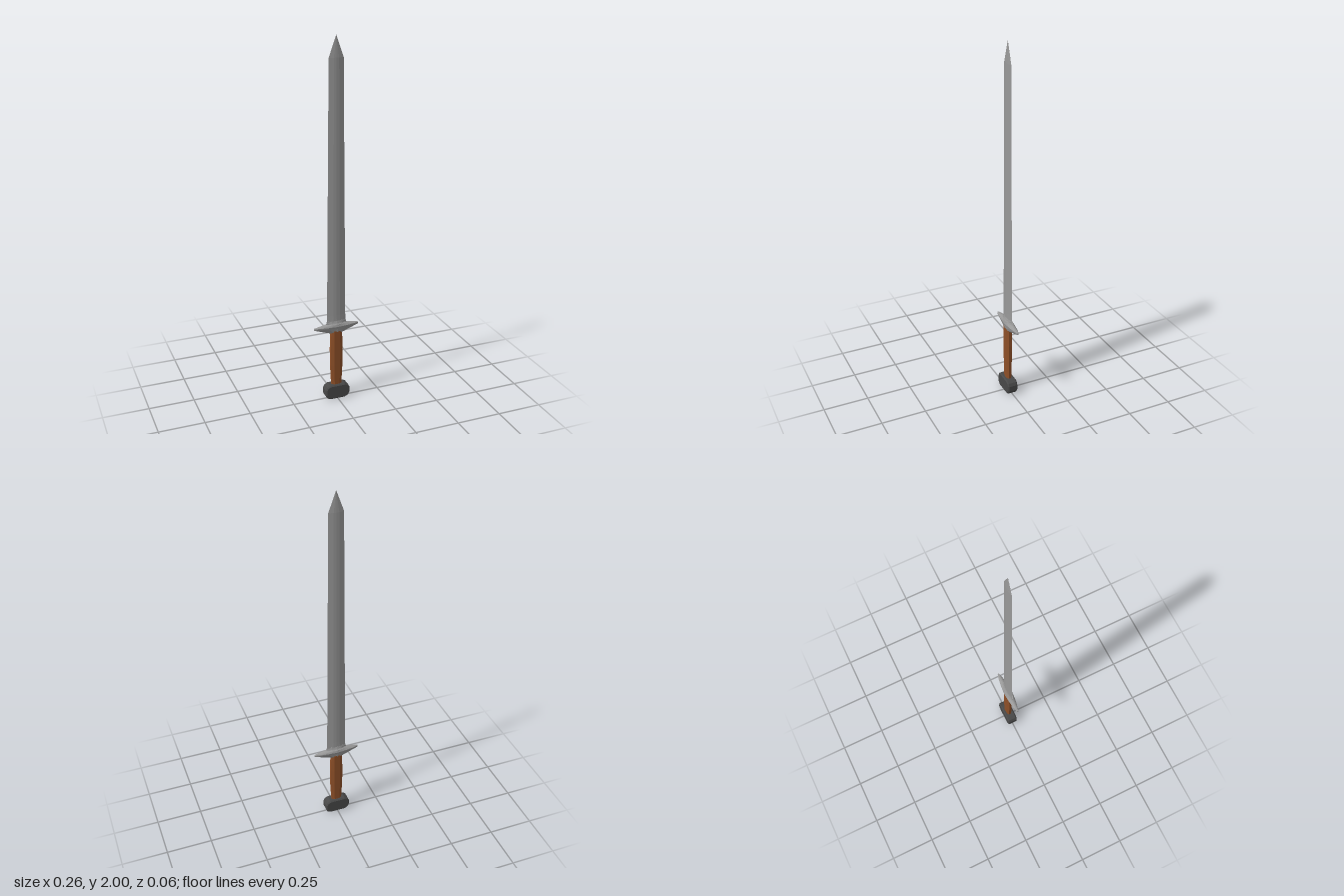
import * as THREE from 'three';

const mat = (color) => new THREE.MeshStandardMaterial({ color, flatShading: true });

// Expands one quadrant of [x, z] points (from +x round to +z) into a closed ring
function ring(quadrant) {
  const half = [...quadrant];
  for (const [x, z] of [...quadrant].reverse()) if (x > 0) half.push([-x, z]);
  const full = [...half];
  for (const [x, z] of [...half].reverse()) if (z > 0) full.push([x, -z]);
  return full;
}

// Joins equal-sized rings stacked in y and closes both ends
function loft(levels) {
  const pos = [];
  const n = levels[0].pts.length;
  const at = (l, k) => [l.pts[k % n][0], l.y, l.pts[k % n][1]];
  for (let i = 0; i < levels.length - 1; i++) {
    for (let k = 0; k < n; k++) {
      const a = at(levels[i], k), b = at(levels[i], k + 1);
      const d = at(levels[i + 1], k), c = at(levels[i + 1], k + 1);
      pos.push(...a, ...d, ...b, ...b, ...d, ...c);
    }
  }
  const low = levels[0], high = levels[levels.length - 1];
  for (let k = 0; k < n; k++) {
    pos.push(0, low.y, 0, ...at(low, k), ...at(low, k + 1));
    pos.push(0, high.y, 0, ...at(high, k + 1), ...at(high, k));
  }
  const g = new THREE.BufferGeometry();
  g.setAttribute('position', new THREE.Float32BufferAttribute(pos, 3));
  g.computeVertexNormals();
  return g;
}

export function createModel() {
  const model = new THREE.Group();
  const steel = mat(0x999999), wood = mat(0x8f5028), iron = mat(0x484848);
  const add = (name, geometry, material) => {
    const mesh = new THREE.Mesh(geometry, material);
    mesh.name = name;
    model.add(mesh);
    return mesh;
  };

  // Blade: thin section with sharp edges and a narrow raised spine, tapering to a point
  const bladeRing = (y, w, t) => ({ y, pts: ring([[w, 0], [w * 0.35, t * 0.85], [0, t]]) });
  add('blade', loft([
    bladeRing(0.44, 0.055, 0.009),
    bladeRing(0.5, 0.053, 0.008),
    bladeRing(1.89, 0.04, 0.006),
    bladeRing(2.0, 0.0005, 0.0005),
  ]), steel);

  // Collar where the blade meets the guard
  const collarRing = (y, w, t) => ({ y, pts: ring([[w, 0], [w * 0.5, t * 0.7], [0, t]]) });
  add('collar', loft([
    collarRing(0.445, 0.061, 0.02),
    collarRing(0.456, 0.058, 0.013),
    collarRing(0.468, 0.055, 0.009),
  ]), steel);

  // Guard: lens-shaped outline, deep in the middle and thin at the tips
  const lens = [[0.128, 0.004], [0.1, 0.012], [0.05, 0.02], [0, 0.024]];
  const guardRing = (y, sx, sz) => ({ y, pts: ring(lens.map(([x, z]) => [x * sx, z * sz])) });
  add('guard', loft([
    guardRing(0.396, 0.28, 0.7),
    guardRing(0.429, 1, 0.9),
    guardRing(0.438, 1, 1),
    guardRing(0.451, 0.48, 0.85),
  ]), steel);

  // Grip: eight-sided, slightly swollen in the middle
  const gripRing = (y, w, t) => ({ y, pts: ring([[w, t * 0.45], [w * 0.5, t]]) });
  add('grip', loft([
    gripRing(0.075, 0.028, 0.015),
    gripRing(0.2, 0.034, 0.017),
    gripRing(0.3, 0.035, 0.018),
    gripRing(0.41, 0.031, 0.018),
  ]), wood);

  // Pommel: wide bevelled block with clipped corners
  const bevel = 0.006;
  const corners = [[0.064, -0.014], [0.064, 0.014], [0.057, 0.028], [0.042, 0.036]];
  const outline = [...corners];
  for (const [x, y] of [...corners].reverse()) outline.push([-x, y]);
  outline.push([-0.057, -0.028], [-0.042, -0.036], [0.042, -0.036], [0.057, -0.028]);
  const shape = new THREE.Shape(outline.map(([x, y]) => new THREE.Vector2(x, y)));
  const pommel = new THREE.ExtrudeGeometry(shape, {
    depth: 0.046, bevelEnabled: true, bevelSize: bevel, bevelThickness: bevel, bevelSegments: 1,
  });
  pommel.translate(0, 0.042, -0.023);
  add('pommel', pommel, iron);

  return model;
}
